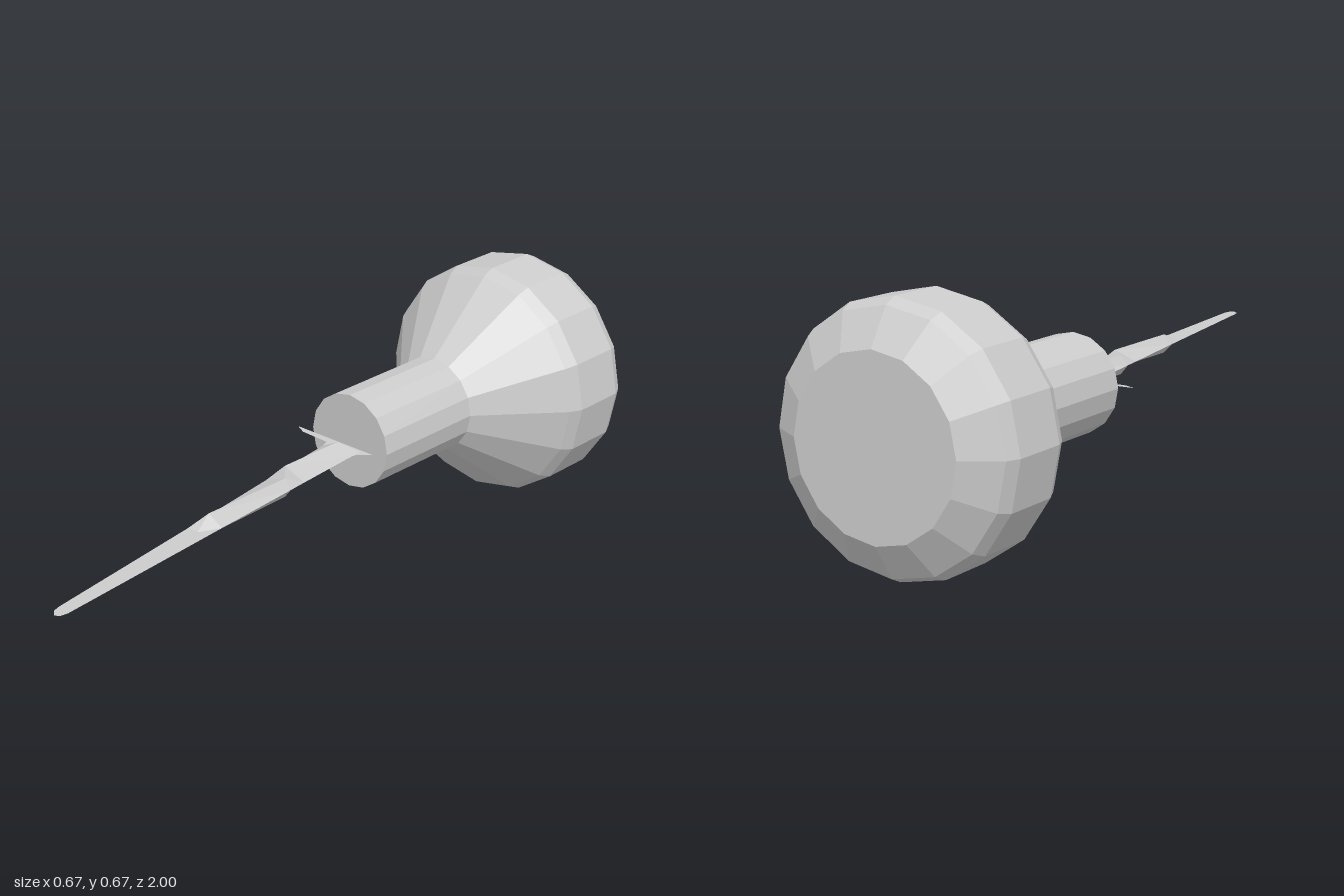
import * as THREE from 'three';

const AXIS_Y = 0.334; // height of the tool's long axis

export function createModel() {
  const grey = new THREE.MeshStandardMaterial({ color: 0xcccccc, side: THREE.DoubleSide });
  grey.name = 'grey';
  const model = new THREE.Group();
  model.name = 'handTool';

  const add = (name, geometry) => {
    const mesh = new THREE.Mesh(geometry, grey);
    mesh.name = name;
    mesh.position.y = AXIS_Y;
    model.add(mesh);
  };
  const faceted = (geometry) => {
    const g = geometry.index ? geometry.toNonIndexed() : geometry;
    g.computeVertexNormals();
    return g;
  };
  // Flat plate lying level, from [x, z] corners
  const plate = (corners) => {
    const shape = new THREE.Shape(corners.map(([x, z]) => new THREE.Vector2(x, z)));
    return new THREE.ShapeGeometry(shape).rotateX(Math.PI / 2);
  };

  // Turned handle: bevelled knob, cone and neck, as [radius, z]
  const profile = [
    [0, -1], [0.226, -1], [0.317, -0.942], [0.333, -0.908], [0.333, -0.75],
    [0.317, -0.715], [0.133, -0.507], [0.133, -0.16], [0, -0.16],
  ].map(([r, z]) => new THREE.Vector2(r, z));
  add('handle', faceted(new THREE.LatheGeometry(profile, 16).rotateX(Math.PI / 2)));

  // Ridged blade: sections as [z, left edge, right edge, ridge x, ridge height]
  const sections = [
    [-0.126, -0.037, 0.069, 0.02, 0],
    [-0.09, -0.031, 0.071, 0.02, 0.026],
    [0.11, -0.002, 0.088, 0.02, 0.026],
    [0.165, 0.006, 0.093, 0.072, 0.026],
    [0.435, 0.047, 0.116, 0.072, 0.026],
    [0.49, 0.055, 0.121, 0.088, 0],
  ];
  const rings = sections.map(([z, l, r, m, h]) => [[l, 0, z], [m, h, z], [r, 0, z], [m, -h, z]]);
  const verts = [];
  for (let i = 0; i < rings.length - 1; i++) {
    for (let j = 0; j < 4; j++) {
      const k = (j + 1) % 4;
      const [a, b, c, d] = [rings[i][j], rings[i][k], rings[i + 1][k], rings[i + 1][j]];
      verts.push(...a, ...d, ...b, ...b, ...d, ...c);
    }
  }
  const blade = new THREE.BufferGeometry();
  blade.setAttribute('position', new THREE.Float32BufferAttribute(verts, 3));
  add('blade', faceted(blade));

  // Thin tapering tip
  add('bladeTip', plate([
    [0.055, 0.49], [0.121, 0.49], [0.163, 0.972], [0.159, 0.991],
    [0.147, 1], [0.13, 0.985], [0.124, 0.965],
  ]));

  // Flared guard at the root of the blade
  add('guard', plate([
    [-0.165, -0.135], [0.106, -0.135], [0.075, -0.108], [0.07, -0.09],
    [-0.032, -0.09], [-0.04, -0.113], [-0.13, -0.117],
  ]));

  return model;
}
